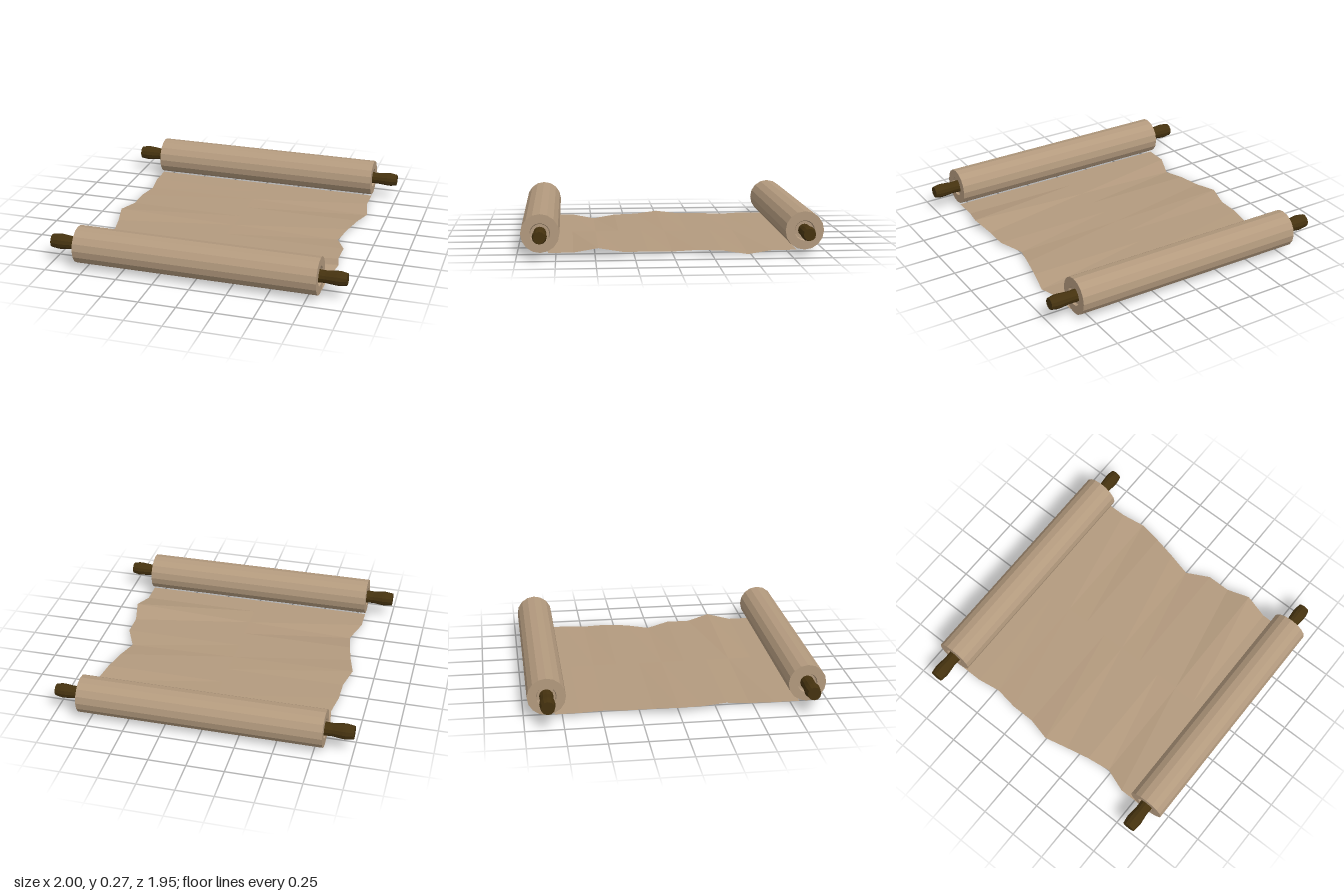
import * as THREE from 'three';

const paper = new THREE.MeshStandardMaterial({ color: 0xb39a7e, flatShading: true });
paper.name = 'parchment';
const sheetPaper = paper; // same colour on sheet and rolls
sheetPaper.side = THREE.DoubleSide;
const wood = new THREE.MeshStandardMaterial({ color: 0x45320f, flatShading: true });
wood.name = 'dark wood';

// Lathe around the x axis from [x, radius] pairs
function turned(name, profile, sides, material) {
  const geo = new THREE.LatheGeometry(profile.map(([x, r]) => new THREE.Vector2(r, x)), sides);
  geo.rotateZ(-Math.PI / 2);
  const mesh = new THREE.Mesh(geo, material);
  mesh.name = name;
  return mesh;
}

// Wavy torn sheet: each row is z, left x, left y, right x, right y
function createSheet() {
  const flat = 0.025;
  const rows = [
    [-0.8, -0.81, flat, 0.825, flat],
    [-0.64, -0.81, flat, 0.825, flat],
    [-0.48, -0.785, 0.021, 0.855, 0.006],
    [-0.32, -0.81, flat, 0.822, flat],
    [-0.16, -0.81, flat, 0.787, flat],
    [0, -0.85, 0.04, 0.75, 0.01],
    [0.16, -0.81, flat, 0.825, flat],
    [0.32, -0.776, flat, 0.825, flat],
    [0.48, -0.75, 0.002, 0.862, 0.058],
    [0.64, -0.81, flat, 0.825, flat],
    [0.8, -0.81, flat, 0.825, flat],
  ];
  const positions = [], index = [];
  rows.forEach(([z, lx, ly, rx, ry], i) => {
    positions.push(lx, ly, z, 0, flat, z, rx, ry, z);
    if (i === 0) return;
    for (let c = 0; c < 2; c++) {
      const a = (i - 1) * 3 + c, b = i * 3 + c;
      index.push(a, b, a + 1, a + 1, b, b + 1);
    }
  });
  const geo = new THREE.BufferGeometry();
  geo.setAttribute('position', new THREE.Float32BufferAttribute(positions, 3));
  geo.setIndex(index);
  geo.computeVertexNormals();
  const mesh = new THREE.Mesh(geo, sheetPaper);
  mesh.name = 'sheet';
  return mesh;
}

export function createModel() {
  const model = new THREE.Group();
  model.name = 'scroll';
  model.add(createSheet());

  for (const side of [-1, 1]) {
    const roller = new THREE.Group();
    roller.name = side > 0 ? 'frontRoller' : 'backRoller';
    roller.position.set(0, 0.15, side * 0.85);

    // Rolled paper with shallow recesses at both ends
    roller.add(turned('roll', [
      [-0.795, 0], [-0.795, 0.06], [-0.812, 0.066], [-0.812, 0.125],
      [0.825, 0.125], [0.825, 0.066], [0.808, 0.06], [0.808, 0],
    ], 16, paper));

    // Turned handles swelling towards the tips
    const left = turned('leftHandle', [
      [0.78, 0.043], [0.86, 0.04], [0.935, 0.047], [0.96, 0.047], [1, 0.039], [1, 0],
    ], 12, wood);
    const right = turned('rightHandle', [
      [0.78, 0.046], [0.86, 0.043], [0.93, 0.051], [0.95, 0.051], [1, 0.044], [1, 0],
    ], 12, wood);
    right.rotation.y = Math.PI;
    roller.add(left, right);
    model.add(roller);
  }
  return model;
}
